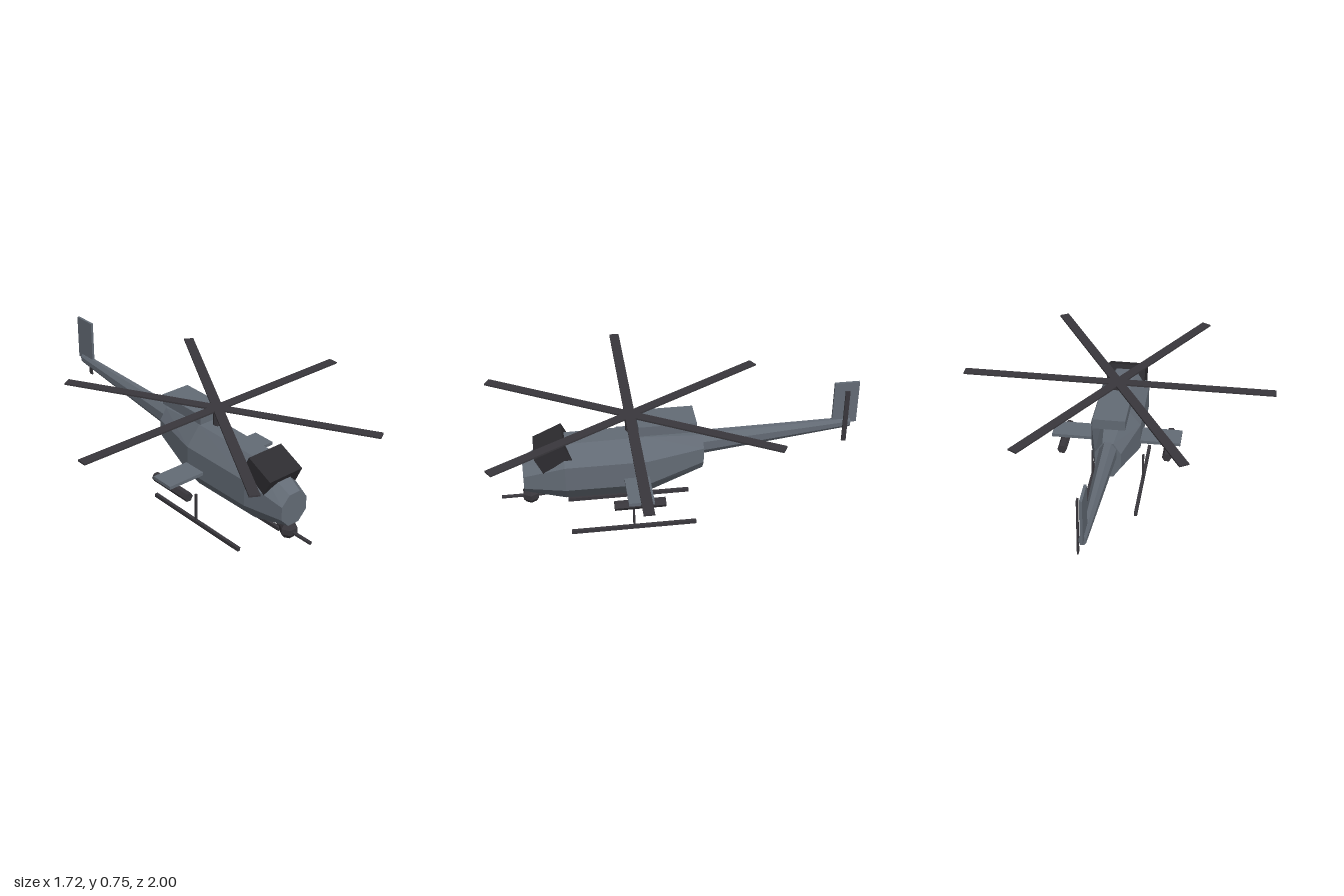
import * as THREE from 'three';

const paint = (name, color) => {
  const m = new THREE.MeshStandardMaterial({ color, flatShading: true });
  m.name = name;
  return m;
};

// Octagonal body through stations [z, centreY, halfWidth, halfHeight], listed nose to tail
function loft(stations) {
  const N = 8, k = 1 / Math.cos(Math.PI / N), pos = [];
  const rings = stations.map(([z, cy, hx, hy]) =>
    Array.from({ length: N }, (_, i) => {
      const a = ((i + 0.5) / N) * Math.PI * 2;
      return [Math.cos(a) * hx * k, cy + Math.sin(a) * hy * k, z];
    }));
  const tri = (a, b, c) => pos.push(...a, ...b, ...c);
  for (let r = 0; r < rings.length - 1; r++) {
    const A = rings[r], B = rings[r + 1];
    for (let i = 0; i < N; i++) {
      const j = (i + 1) % N;
      tri(A[i], B[i], A[j]);
      tri(A[j], B[i], B[j]);
    }
  }
  const first = rings[0], last = rings[rings.length - 1];
  for (let i = 1; i < N - 1; i++) {
    tri(first[0], first[i], first[i + 1]);
    tri(last[0], last[i + 1], last[i]);
  }
  const g = new THREE.BufferGeometry();
  g.setAttribute('position', new THREE.Float32BufferAttribute(pos, 3));
  g.computeVertexNormals();
  return g;
}

export function createModel() {
  const group = new THREE.Group();
  group.name = 'helicopter';
  const body = paint('body grey', 0x636b75);
  const dark = paint('dark metal', 0x39373c);
  const glass = paint('canopy glass', 0x2d2c30);

  const add = (name, geo, mat, x = 0, y = 0, z = 0) => {
    const m = new THREE.Mesh(geo, mat);
    m.name = name;
    m.position.set(x, y, z);
    group.add(m);
    return m;
  };
  const box = (w, h, d) => new THREE.BoxGeometry(w, h, d);
  const rod = (r, len, sides) => new THREE.CylinderGeometry(r, r, len, sides);

  // Fuselage and tail
  add('fuselage', loft([
    [0.82, 0.32, 0.085, 0.09],
    [0.6, 0.355, 0.135, 0.175],
    [0.16, 0.356, 0.138, 0.179],
    [-0.15, 0.395, 0.07, 0.105],
  ]), body);
  add('tailBoom', loft([
    [-0.14, 0.437, 0.046, 0.064],
    [-0.965, 0.493, 0.018, 0.026],
  ]), body);
  add('tailFin', box(0.014, 0.25, 0.135), body, 0, 0.62, -0.932);
  add('tailRotorBlade', box(0.008, 0.315, 0.025), dark, 0.028, 0.548, -0.932);

  // Canopy and engine housing
  add('canopy', box(0.22, 0.105, 0.172), glass, 0, 0.47, 0.656).rotation.x = 0.436;
  add('engineHousing', box(0.172, 0.056, 0.31), body, 0, 0.589, 0.047);

  // Main rotor: three full-length bars make six blades
  add('rotorMast', rod(0.025, 0.095, 8), dark, 0, 0.6, 0.24);
  for (let i = 0; i < 3; i++) {
    add('rotorBlade', box(1.72, 0.009, 0.054), dark, 0, 0.648, 0.238).rotation.y = (i * Math.PI) / 3;
  }

  // Chin gun
  add('gunTurret', new THREE.SphereGeometry(0.05, 6, 5), dark, 0, 0.183, 0.788);
  add('gunBarrel', rod(0.01, 0.235, 6), dark, 0, 0.177, 0.828).rotation.x = Math.PI / 2;

  // Stub wings, pods and landing skids on both sides
  add('stubWings', box(0.72, 0.018, 0.135), body, 0, 0.325, 0.22);
  for (const s of [-1, 1]) {
    const pod = add('weaponPod', rod(0.026, 0.27, 6), dark, s * 0.293, 0.277, 0.222);
    pod.rotation.set(Math.PI / 2, Math.PI / 6, 0);
    add('skid', box(0.018, 0.02, 0.685), dark, s * 0.146, 0.01, 0.242);
    add('skidStrut', box(0.011, 0.165, 0.011), dark, s * 0.146, 0.0975, 0.242);
  }
  return group;
}
